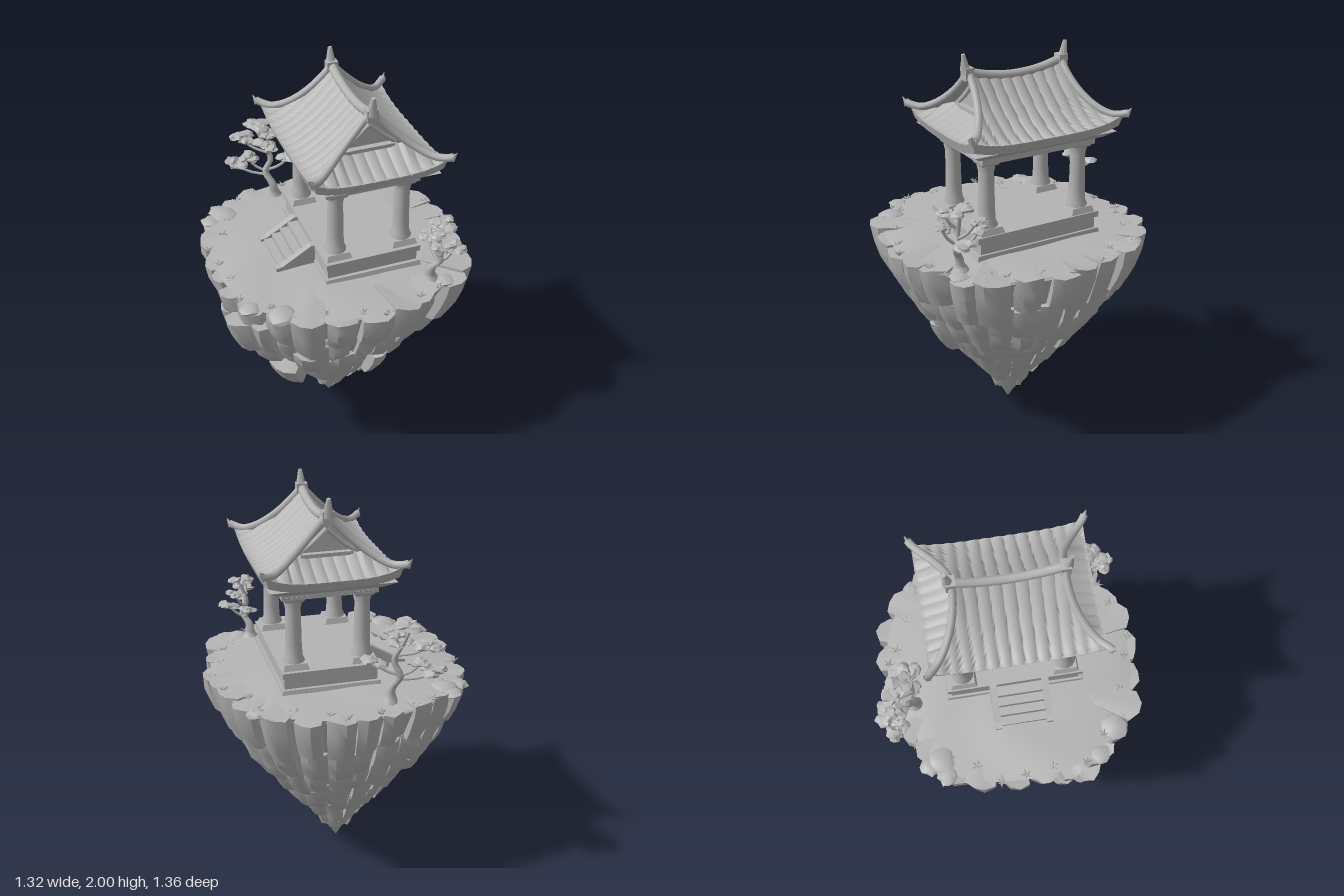
import * as THREE from 'three';
import { mergeVertices, toCreasedNormals } from 'three/addons/utils/BufferGeometryUtils.js';
import { ParametricGeometry } from 'three/addons/geometries/ParametricGeometry.js';

const stone = new THREE.MeshStandardMaterial({ color: 0xb4b4b4, side: THREE.DoubleSide });
stone.name = 'grey stone';

let seed = 7;
const rnd = () => ((seed = (seed * 16807) % 2147483647) / 2147483647);
const jit = (a) => (rnd() * 2 - 1) * a;
const V = (x, y, z) => new THREE.Vector3(x, y, z);

function add(parent, name, geo, x = 0, y = 0, z = 0) {
  const m = new THREE.Mesh(geo, stone);
  m.name = name;
  m.position.set(x, y, z);
  parent.add(m);
  return m;
}
function group(parent, name) {
  const g = new THREE.Group();
  g.name = name;
  parent.add(g);
  return g;
}
// moves every vertex by a rule, then rebuilds creased normals
function shape(geo, rule, crease = 0.6) {
  geo.deleteAttribute('normal');
  geo.deleteAttribute('uv');
  geo = mergeVertices(geo, 1e-4);
  const p = geo.attributes.position, v = V(0, 0, 0);
  for (let i = 0; i < p.count; i++) {
    rule(v.fromBufferAttribute(p, i));
    p.setXYZ(i, v.x, v.y, v.z);
  }
  return toCreasedNormals(geo, crease);
}
const sheet = (fn, nu, nv) => new ParametricGeometry((u, v, t) => t.copy(fn(u, v)), nu, nv);
const tube = (pts, r, n = 16, sides = 7) => new THREE.TubeGeometry(new THREE.CatmullRomCurve3(pts), n, r, sides);
// box whose top is wider or narrower than its base
const taper = (w0, d0, w1, d1, h) => shape(new THREE.BoxGeometry(1, h, 1), (v) => {
  const top = v.y > 0;
  v.x *= top ? w1 : w0;
  v.z *= top ? d1 : d0;
});

// island outline seen from above, and its narrowing towards the tip
const outline = (a) => 0.665 / Math.pow(Math.abs(Math.cos(a)) ** 2.35 + Math.abs(Math.sin(a)) ** 2.35, 1 / 2.35)
  + 0.018 * Math.cos(a) + 0.012 * Math.sin(a);
const PROFILE = [[0, 0.005], [0.1, 0.09], [0.2, 0.175], [0.3, 0.295], [0.4, 0.415], [0.5, 0.53], [0.75, 0.795], [1.05, 1]];
function narrow(y) {
  for (let i = 1; i < PROFILE.length; i++) {
    const [y0, p0] = PROFILE[i - 1], [y1, p1] = PROFILE[i];
    if (y <= y1) return p0 + (p1 - p0) * Math.max(0, (y - y0) / (y1 - y0));
  }
  return 1;
}
// one rock of the cliff, curved around the axis, overhanging at its foot
function cliffRock(parent, a, width, y0, y1, out = 1) {
  const slant = jit(0.02), lean = jit(0.05);
  const R = outline(a);
  add(parent, 'cliffRock', shape(new THREE.BoxGeometry(1, 1, 1, 3, 3, 1), (v) => {
    const t = v.y + 0.5, u = v.x, face = v.z > 0;
    const y = y0 + (y1 - y0) * t + u * slant + jit(0.006);
    const edge = Math.abs(u) > 0.4 ? 0.96 : 1, lip = t > 0.9 || t < 0.1 ? 0.98 : 1;
    const foot = narrow(y0) + (narrow(y1) - narrow(y0)) * (0.3 + 0.7 * t);
    let r = R * out * foot * edge * lip * (1 + lean * u) + jit(0.006);
    if (!face) r = R * narrow(y0) * 0.75;
    const th = a + u * width;
    v.set(Math.cos(th) * r, y, Math.sin(th) * r);
  }, 0.7));
}

function island(root) {
  const g = group(root, 'island');
  // inner core and grassy top
  add(g, 'rockCore', sheet((u, v) => {
    const a = -u * Math.PI * 2, y = v * 1.03, r = outline(a) * narrow(y) * 0.93;
    return V(Math.cos(a) * r, y, Math.sin(a) * r);
  }, 48, 14));
  add(g, 'ground', sheet((u, v) => {
    const a = u * Math.PI * 2, r = outline(a) * v * 0.93;
    const y = 1.075 - 0.025 * v ** 3 + 0.005 * Math.sin(a * 5 + v * 7) * v;
    return V(Math.cos(a) * r, y, Math.sin(a) * r);
  }, 48, 10));
  // tiers of rocks, fewer columns further down
  const tiers = [[26, 1.05, 0.83], [26, 0.85, 0.68], [26, 0.7, 0.55], [20, 0.57, 0.43],
    [16, 0.45, 0.31], [12, 0.33, 0.2], [8, 0.22, 0.1]];
  tiers.forEach(([n, top, bottom], k) => {
    for (let i = 0; i < n; i++) {
      const a = ((i + 0.5 + jit(0.12)) / n) * Math.PI * 2;
      const s = k < 5 ? jit(0.035) : jit(0.015);
      const w = ((Math.PI * 2) / n) * (k ? 1 + jit(0.1) : 0.92 + jit(0.14));
      cliffRock(g, a, w, bottom + s, k ? top + s : top + jit(0.015), 1.005 + jit(k ? 0.03 : 0.045));
    }
  });
  add(g, 'tip', shape(new THREE.ConeGeometry(0.105, 0.18, 7, 2), (v) => { v.y = -v.y; v.z = -v.z; }), 0, 0.09, 0);
  // rocks jutting from the cliff, the first few forming a lower ledge at one corner
  for (const [a, w, y0, y1, o] of [[2.62, 0.2, 0.74, 0.95, 1.14], [2.44, 0.16, 0.76, 0.97, 1.07], [2.8, 0.16, 0.74, 0.94, 1.09],
    [2.56, 0.26, 0.6, 0.76, 1.1], [2.38, 0.3, 0.45, 0.61, 1.26], [2.1, 0.26, 0.6, 0.75, 1.08], [1.33, 0.22, 0.47, 0.65, 1.1],
    [0.2, 0.22, 0.52, 0.7, 1.04], [3.6, 0.25, 0.5, 0.66, 1.04]]) cliffRock(g, a, w, y0, y1, o);
  // boulders set into the rim
  for (const [x, z, r] of [[-0.44, -0.4, 0.075], [-0.52, -0.38, 0.05], [-0.46, -0.46, 0.05], [0.5, -0.43, 0.05],
    [-0.4, 0.48, 0.07], [0.42, 0.5, 0.05], [-0.53, 0.38, 0.05]]) {
    add(g, 'boulder', shape(new THREE.IcosahedronGeometry(r, 1), (v) => {
      v.set(v.x + jit(0.008), v.y * 0.4, v.z + jit(0.008));
    }), x, 1.045, z);
  }
  // little star-shaped tufts
  for (let i = 0; i < 26; i++) {
    const a = i * 0.2417 + jit(0.06), r = outline(a) * (0.88 + jit(0.07));
    const tuft = group(g, 'tuft');
    tuft.position.set(Math.cos(a) * r, 1.05, Math.sin(a) * r);
    for (let k = 0; k < 5; k++) {
      const leaf = add(tuft, 'leaf', new THREE.ConeGeometry(0.008, 0.035, 4).translate(0, 0.016, 0));
      leaf.rotation.set(1.0 + jit(0.3), k * 1.257 + a, 0, 'YXZ');
    }
  }
}

// roof rules, measured from the middle of the pavilion
const HX = 0.325, HZ = 0.405;
const lift = (x, z) => 0.045 * Math.min(1.2, Math.abs(x / HX)) ** 4 * Math.min(1.2, Math.abs(z / HZ)) ** 4;
const hip = (x) => 0.25 + 0.155 * (x / HX) ** 2;
const slope = (x) => 1.64 + 0.23 * Math.max(0, 1 - Math.abs(x) / HX) ** 1.5;
const sag = (x, z) => 0.04 * (z / 0.27) ** 2 * Math.max(0, 1 - Math.abs(x) / HX);
const rib = (t) => 0.012 * Math.abs(Math.cos(t * Math.PI)) ** 0.7;

function roof(p) {
  const g = group(p, 'roof');
  for (const s of [-1, 1]) {
    // long tiled slope
    add(g, 'tiledSlope', sheet((u, v) => {
      const x = s * v * HX, z = (u * 2 - 1) * hip(x);
      return V(x, slope(x) + sag(x, z) + lift(x, z) + rib(z / 0.058), z);
    }, 112, 12));
    // lower skirt below the gable
    add(g, 'tiledSkirt', sheet((u, v) => {
      const x = (u * 2 - 1) * HX, top = slope(x), inner = top > 1.715 ? hip(x) - 0.04 : hip(x);
      const z = inner + (HZ - inner) * v, y0 = Math.min(top, 1.72);
      return V(x, 1.64 + (y0 - 1.64) * (1 - v) ** 1.3 + lift(x, z) + 0.7 * rib(x / 0.058), s * z);
    }, 80, 8));
    // gable wall with an inset frame
    add(g, 'gableWall', sheet((u, v) => {
      const x = (u * 2 - 1) * 0.2;
      return V(x, 1.66 + (slope(x) + 0.02 - 1.66) * v, s * 0.22);
    }, 16, 2));
    add(g, 'gableSill', new THREE.BoxGeometry(0.25, 0.018, 0.03), 0, 1.722, s * 0.235);
    for (const k of [-1, 1]) {
      // hip ridges sweeping out to the corners
      const pts = [];
      for (let i = 0; i <= 8; i++) {
        const x = (i / 8) * HX, z = hip(x);
        pts.push(V(k * x, slope(x) + sag(x, z) + lift(x, z) + 0.012, s * z));
      }
      pts.push(V(k * (HX + 0.018), 1.705, s * (HZ + 0.012)));
      add(g, 'hipRidge', tube(pts, 0.019, 24));
      const tip = add(g, 'cornerTip', new THREE.ConeGeometry(0.017, 0.05, 6), k * 0.346, 1.712, s * 0.42);
      tip.rotation.set(s * 0.4, 0, -k * 0.4);
      // gable frame rafters
      add(g, 'gableRafter', tube([V(0, 1.845, s * 0.235), V(k * 0.07, 1.78, s * 0.235), V(k * 0.13, 1.735, s * 0.235)], 0.011, 8, 5));
    }
    // finial at the ridge end
    add(g, 'ridgeKnob', new THREE.BoxGeometry(0.055, 0.06, 0.045), 0, 1.905, s * 0.255);
    const f = add(g, 'finial', new THREE.CylinderGeometry(0.01, 0.028, 0.09, 6), 0, 1.953, s * 0.27);
    f.rotation.x = s * 0.15;
  }
  add(g, 'ridge', tube([-0.27, -0.14, 0, 0.14, 0.27].map((z) => V(0, 1.87 + 0.045 * (z / 0.27) ** 2, z)), 0.023, 20, 8));
  // eave board and soffit, lifted at the corners
  add(g, 'eave', shape(new THREE.BoxGeometry(1, 1, 1, 14, 1, 14), (v) => {
    const top = v.y > 0, x = v.x * (top ? 0.65 : 0.62), z = v.z * (top ? 0.81 : 0.78);
    v.set(x, (top ? 1.646 : 1.603) + lift(x, z), z);
  }));
  add(g, 'soffit', taper(0.51, 0.67, 0.61, 0.77, 0.035), 0, 1.59, 0);
}

function pavilion(root) {
  const g = group(root, 'pavilion');
  g.position.set(0.105, 0, 0.02);
  // stepped platform
  add(g, 'plinth', taper(0.5, 0.7, 0.49, 0.68, 0.04), 0, 1.07, 0);
  add(g, 'platform', new THREE.BoxGeometry(0.465, 0.08, 0.645), 0, 1.115, 0);
  add(g, 'platformSlab', new THREE.BoxGeometry(0.485, 0.03, 0.68), 0, 1.165, 0);
  // columns with square feet and capitals
  const prof = [[0.052, 1.19], [0.054, 1.215], [0.043, 1.24], [0.04, 1.3], [0.037, 1.48], [0.044, 1.51], [0.046, 1.54]];
  for (const x of [-0.17, 0.17]) for (const z of [-0.255, 0.255]) {
    const c = group(g, 'column');
    c.position.set(x, 0, z);
    add(c, 'shaft', new THREE.LatheGeometry(prof.map((q) => new THREE.Vector2(...q)), 14));
    add(c, 'foot', taper(0.13, 0.13, 0.11, 0.11, 0.03), 0, 1.195, 0);
    add(c, 'capital', taper(0.085, 0.085, 0.115, 0.115, 0.03), 0, 1.535, 0);
  }
  // beams on the columns
  for (const s of [-1, 1]) {
    add(g, 'longBeam', new THREE.BoxGeometry(0.07, 0.045, 0.62), s * 0.2, 1.56, 0);
    add(g, 'crossBeam', new THREE.BoxGeometry(0.47, 0.045, 0.07), 0, 1.56, s * 0.275);
  }
  // stairs between sloping side walls
  const st = group(g, 'stairs');
  for (let i = 0; i < 4; i++) add(st, 'step', new THREE.BoxGeometry(0.05, 0.1, 0.24), -0.4 + i * 0.043, 1.035 + i * 0.025, 0.015);
  for (const z of [-0.115, 0.145]) {
    const wall = new THREE.Shape([[-0.44, 1.04], [-0.24, 1.04], [-0.24, 1.18], [-0.26, 1.18], [-0.41, 1.09], [-0.44, 1.085]].map((q) => new THREE.Vector2(...q)));
    add(st, 'stairWall', new THREE.ExtrudeGeometry(wall, { depth: 0.035, bevelEnabled: false }), 0, 0, z - 0.0175);
  }
  roof(g);
}

// wind-bent tree: tapering trunk, thin branches, flat leaf pads
function tree(root, name, trunk, pads) {
  const g = group(root, name);
  const pts = trunk.map((q) => V(...q)), curve = new THREE.CatmullRomCurve3(pts);
  add(g, 'trunk', sheet((u, v) => {
    const c = curve.getPoint(v), r = 0.025 - 0.016 * v + 0.02 * Math.max(0, 0.12 - v) / 0.12, a = u * Math.PI * 2;
    return c.add(V(Math.cos(a) * r, 0, -Math.sin(a) * r));
  }, 8, 16));
  for (const [x, y, z, r] of pads) {
    const start = curve.getPoint(Math.min(0.9, Math.max(0.35, (y - 1.12) / (pts[pts.length - 1].y - 1.06))));
    const end = V(x, y - 0.005, z), mid = start.clone().lerp(end, 0.6).add(V(0, -0.015, 0));
    add(g, 'branch', tube([start, mid, end], 0.008, 6, 5));
    for (let k = 0; k < 4; k++) {
      const a = k * 1.571 + r * 40, d = k ? r * 0.55 : 0;
      add(g, 'leafPad', shape(new THREE.IcosahedronGeometry(r * 0.6, 1), (v) => {
        const n = 1 + jit(0.28);
        v.set(v.x * n, v.y * (v.y < 0 ? 0.25 : 0.55) * n, v.z * n);
      }, 0.3), x + Math.cos(a) * d, y + jit(0.012), z + Math.sin(a) * d);
    }
  }
}

export function createModel() {
  const root = new THREE.Group();
  root.name = 'floatingIslandPavilion';
  island(root);
  pavilion(root);
  tree(root, 'frontTree',
    [[0.36, 1.05, 0.46], [0.36, 1.12, 0.47], [0.39, 1.18, 0.5], [0.37, 1.25, 0.48], [0.4, 1.35, 0.48]],
    [[0.4, 1.37, 0.48, 0.06], [0.37, 1.29, 0.56, 0.05], [0.46, 1.235, 0.5, 0.055], [0.43, 1.31, 0.42, 0.05],
      [0.38, 1.24, 0.38, 0.045], [0.36, 1.355, 0.54, 0.04]]);
  tree(root, 'backTree',
    [[-0.13, 1.05, -0.49], [-0.14, 1.13, -0.49], [-0.17, 1.2, -0.52], [-0.14, 1.28, -0.51], [-0.17, 1.37, -0.54], [-0.2, 1.45, -0.55]],
    [[-0.2, 1.465, -0.55, 0.07], [-0.27, 1.38, -0.6, 0.065], [-0.17, 1.37, -0.5, 0.06], [-0.31, 1.24, -0.58, 0.06],
      [-0.05, 1.28, -0.49, 0.06], [-0.25, 1.28, -0.56, 0.05], [-0.14, 1.42, -0.52, 0.05]]);
  return root;
}
